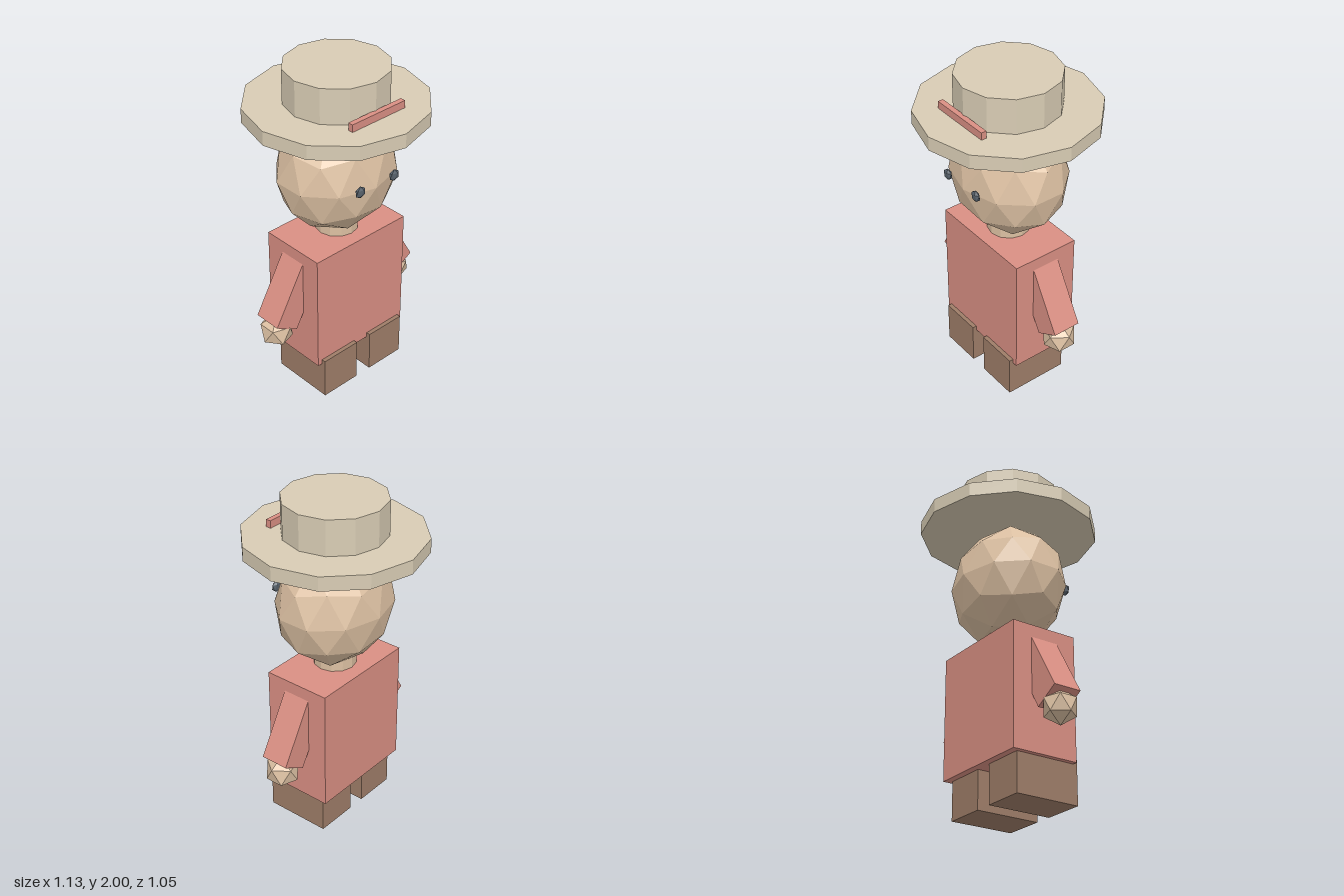
import * as THREE from 'three';

const material = (color) => new THREE.MeshStandardMaterial({ color, flatShading: true });

export function createModel() {
  const model = new THREE.Group();
  model.name = 'figure';

  const skin = material(0xdcc0a2);
  const coral = material(0xd98f83);
  const straw = material(0xd8ccb4);
  const brown = material(0x9e7d68);
  const dark = material(0x56606a);

  const add = (name, geometry, mat, x, y, z) => {
    const mesh = new THREE.Mesh(geometry, mat);
    mesh.name = name;
    mesh.position.set(x, y, z);
    model.add(mesh);
    return mesh;
  };

  // Faceted ball standing on a corner, with a ring corner towards +x
  const ball = (rx, ry, rz, detail) => {
    const g = new THREE.IcosahedronGeometry(1, detail);
    g.rotateX(-Math.atan((1 + Math.sqrt(5)) / 2));
    g.rotateY(Math.PI / 2);
    return g.scale(rx, ry, rz);
  };
  const box = (w, h, d) => new THREE.BoxGeometry(w, h, d);
  const disc = (r, h) => new THREE.CylinderGeometry(r, r, h, 12);

  // Body, neck and head
  add('torso', box(0.68, 0.74, 0.414), coral, 0, 0.6, 0);
  add('neck', disc(0.125, 0.12), skin, 0, 1.0, 0);
  add('head', ball(0.376, 0.37, 0.315, 1), skin, 0, 1.363, 0);

  // Hat
  add('hatBrim', disc(0.523, 0.085), straw, 0, 1.7475, 0);
  add('hatCrown', disc(0.3, 0.21), straw, 0, 1.895, 0);
  add('hatRibbon', box(0.385, 0.045, 0.032), coral, 0, 1.812, 0.309);

  // Paired parts; the model's left is +x
  for (const [side, s] of [['left', 1], ['right', -1]]) {
    add(side + 'Leg', box(0.257, 0.26, 0.397), brown, s * 0.182, 0.13, 0.034);
    const arm = add(side + 'Arm', box(0.168, 0.48, 0.172), coral, s * 0.348, 0.715, 0);
    arm.rotation.z = s * Math.PI / 6;
    add(side + 'Hand', ball(0.103, 0.103, 0.103, 0), skin, s * 0.473, 0.458, 0);
    add(side + 'Eye', ball(0.036, 0.037, 0.018, 0), dark, s * 0.128, 1.395, 0.322);
  }

  return model;
}
